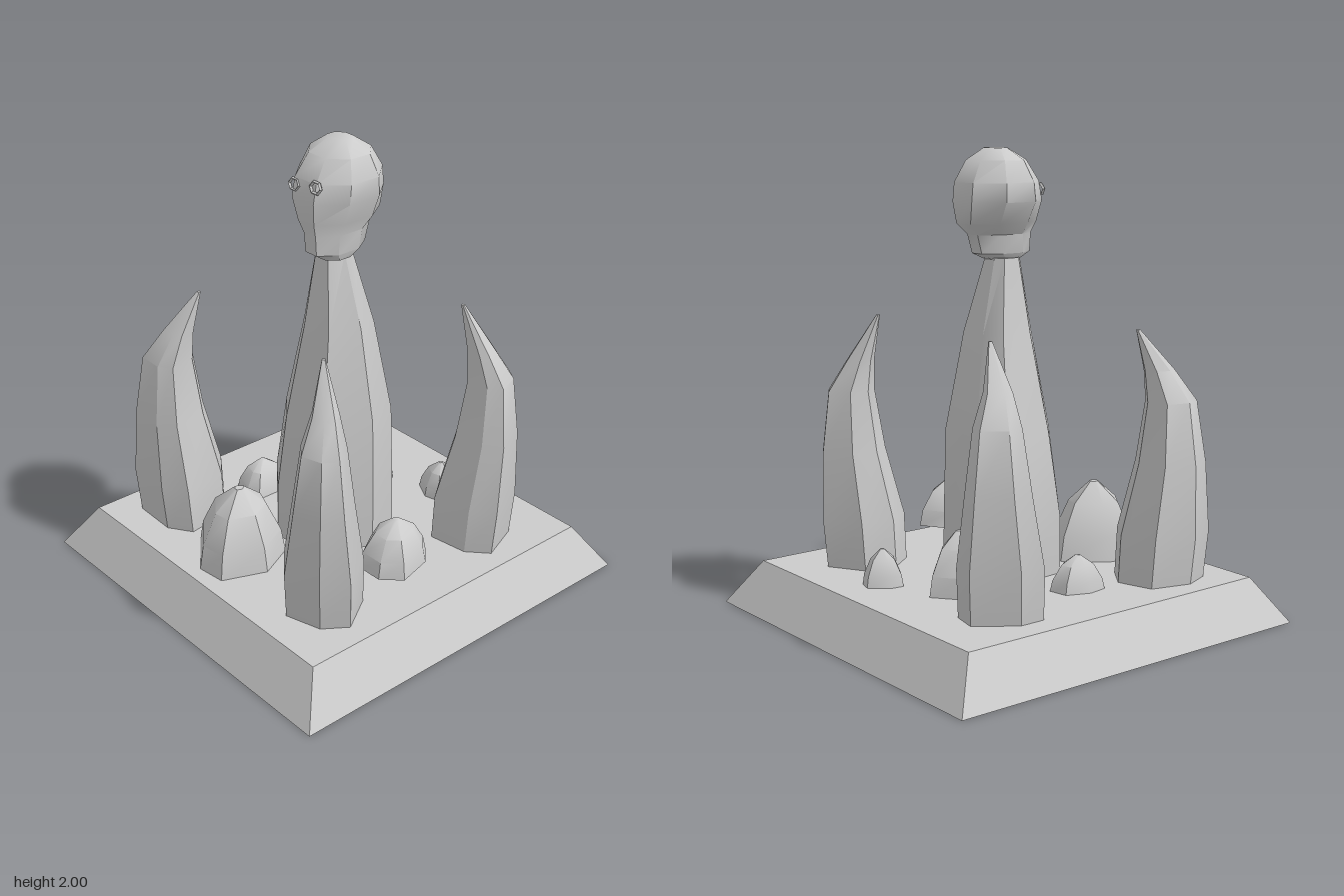
import * as THREE from 'three';
import { toCreasedNormals } from 'three/addons/utils/BufferGeometryUtils.js';

const material = new THREE.MeshStandardMaterial({ color: 0xcccccc, side: THREE.DoubleSide });

function add(parent, geometry, name) {
  const mesh = new THREE.Mesh(geometry, material);
  mesh.name = name;
  parent.add(mesh);
  return mesh;
}

// Polygon outline scaled to fill -1..1 both ways; seed > 0 makes it irregular
function outline(sides, turn, seed = 0) {
  const pts = [];
  for (let i = 0; i < sides; i++) {
    const wobble = seed ? Math.sin(seed * 7.3 + i * 2.7) : 0;
    const a = ((i + turn + wobble * 0.15) / sides) * Math.PI * 2;
    const r = 1 + 0.07 * wobble;
    pts.push([Math.cos(a) * r, Math.sin(a) * r]);
  }
  for (const k of [0, 1]) {
    const lo = Math.min(...pts.map((p) => p[k]));
    const hi = Math.max(...pts.map((p) => p[k]));
    pts.forEach((p) => { p[k] = ((p[k] - lo) / (hi - lo)) * 2 - 1; });
  }
  return pts;
}

// Skin over stacked rings [y, xMin, xMax, zMin, zMax], closed on top
function loft(rings, shape, crease = 0.6, closeBottom = false) {
  const n = shape.length;
  const pos = [];
  const index = [];
  for (const [y, x0, x1, z0, z1] of rings) {
    for (const [u, v] of shape) {
      pos.push((x0 + x1 + u * (x1 - x0)) / 2, y, (z0 + z1 + v * (z1 - z0)) / 2);
    }
  }
  for (let r = 0; r < rings.length - 1; r++) {
    for (let i = 0; i < n; i++) {
      const a = r * n + i;
      const b = r * n + ((i + 1) % n);
      index.push(a, a + n, b, b, a + n, b + n);
    }
  }
  const top = (rings.length - 1) * n;
  for (let i = 1; i < n - 1; i++) {
    index.push(top, top + i + 1, top + i);
    if (closeBottom) index.push(0, i, i + 1);
  }
  const g = new THREE.BufferGeometry();
  g.setAttribute('position', new THREE.Float32BufferAttribute(pos, 3));
  g.setIndex(index);
  return toCreasedNormals(g, crease);
}

export function createModel() {
  const model = new THREE.Group();
  model.name = 'skullShrine';

  // Bevelled base, open underneath
  const square = [[1, -1], [1, 1], [-1, 1], [-1, -1]];
  add(model, loft([
    [0, -0.875, 0.875, -0.875, 0.875],
    [0.195, -0.75, 0.75, -0.75, 0.75],
  ], square, 0.3), 'base');

  // Tall central spire
  add(model, loft([
    [0.185, -0.22, 0.28, -0.18, 0.28],
    [0.45, -0.22, 0.285, -0.17, 0.275],
    [0.8, -0.165, 0.265, -0.165, 0.245],
    [1.22, -0.06, 0.21, -0.085, 0.185],
    [1.54, 0, 0.13, -0.01, 0.13],
  ], outline(7, 2, 0.4)), 'centralSpire');

  // Four corner claws curling inwards: [centre x, centre z, tip x, tip z, tip y]
  const claws = [
    [0.48, 0.445, 0.41, 0.4, 1.29],
    [-0.487, 0.435, -0.45, 0.36, 1.26],
    [-0.465, -0.395, -0.38, -0.36, 1.27],
    [0.487, -0.4, 0.415, -0.35, 1.29],
  ];
  const profile = [ // y, half width, outward shift
    [0.185, 0.175, 0], [0.4, 0.18, 0.01], [0.7, 0.137, 0.033],
    [0.96, 0.1, 0.035], [1.09, 0.06, 0.002],
  ];
  claws.forEach(([cx, cz, tx, tz, ty], i) => {
    const rings = profile.map(([y, h, out]) => {
      const x = cx + Math.sign(cx) * out;
      const z = cz + Math.sign(cz) * out;
      return [y, x - h, x + h, z - h, z + h];
    });
    rings.push([ty, tx - 0.008, tx + 0.008, tz - 0.008, tz + 0.008]);
    add(model, loft(rings, outline(7, i * 0.4, i + 1)), 'claw' + (i + 1));
  });

  // Rocks between the claws: [xMin, xMax, zMin, zMax, bottom, top]
  const rocks = [
    [-0.24, 0.14, 0.27, 0.69, 0.185, 0.525],
    [0.38, 0.65, -0.05, 0.25, 0.28, 0.485],
    [-0.5, -0.325, -0.045, 0.19, 0.185, 0.34],
    [0.055, 0.245, -0.615, -0.43, 0.185, 0.345],
    [-0.255, -0.025, -0.485, -0.19, 0.185, 0.455],
  ];
  rocks.forEach(([x0, x1, z0, z1, y0, y1], i) => {
    const cx = (x0 + x1) / 2, cz = (z0 + z1) / 2;
    const rings = [[0, 1], [0.35, 0.9], [0.75, 0.58], [1, 0.1]].map(([t, s]) => [
      y0 + (y1 - y0) * t,
      cx + (x0 - cx) * s, cx + (x1 - cx) * s,
      cz + (z0 - cz) * s, cz + (z1 - cz) * s,
    ]);
    add(model, loft(rings, outline(7, i * 0.3, i + 6), 0.7), 'rock' + (i + 1));
  });

  // Skull: narrow jaw widening to a round cranium
  const skull = new THREE.Group();
  skull.name = 'skull';
  model.add(skull);
  add(skull, loft([
    [1.53, 0.02, 0.155, 0, 0.14],
    [1.56, 0, 0.165, -0.07, 0.187],
    [1.64, -0.005, 0.165, -0.095, 0.19],
    [1.69, -0.055, 0.18, -0.155, 0.195],
    [1.78, -0.11, 0.207, -0.172, 0.2],
    [1.86, -0.11, 0.205, -0.165, 0.183],
    [1.95, -0.075, 0.17, -0.115, 0.125],
    [2, -0.01, 0.1, -0.045, 0.045],
  ], outline(8, 0.5), 0.7, true), 'cranium');

  // Rimmed hexagonal eye sockets
  for (const [x, y] of [[-0.015, 1.828], [0.115, 1.85]]) {
    const rim = new THREE.TorusGeometry(0.031, 0.008, 4, 6);
    const eye = add(skull, toCreasedNormals(rim, 0.4), 'eyeSocket');
    eye.position.set(x, y, 0.187);
    eye.rotation.x = -0.2;
    eye.scale.y = 0.8;
  }
  return model;
}
